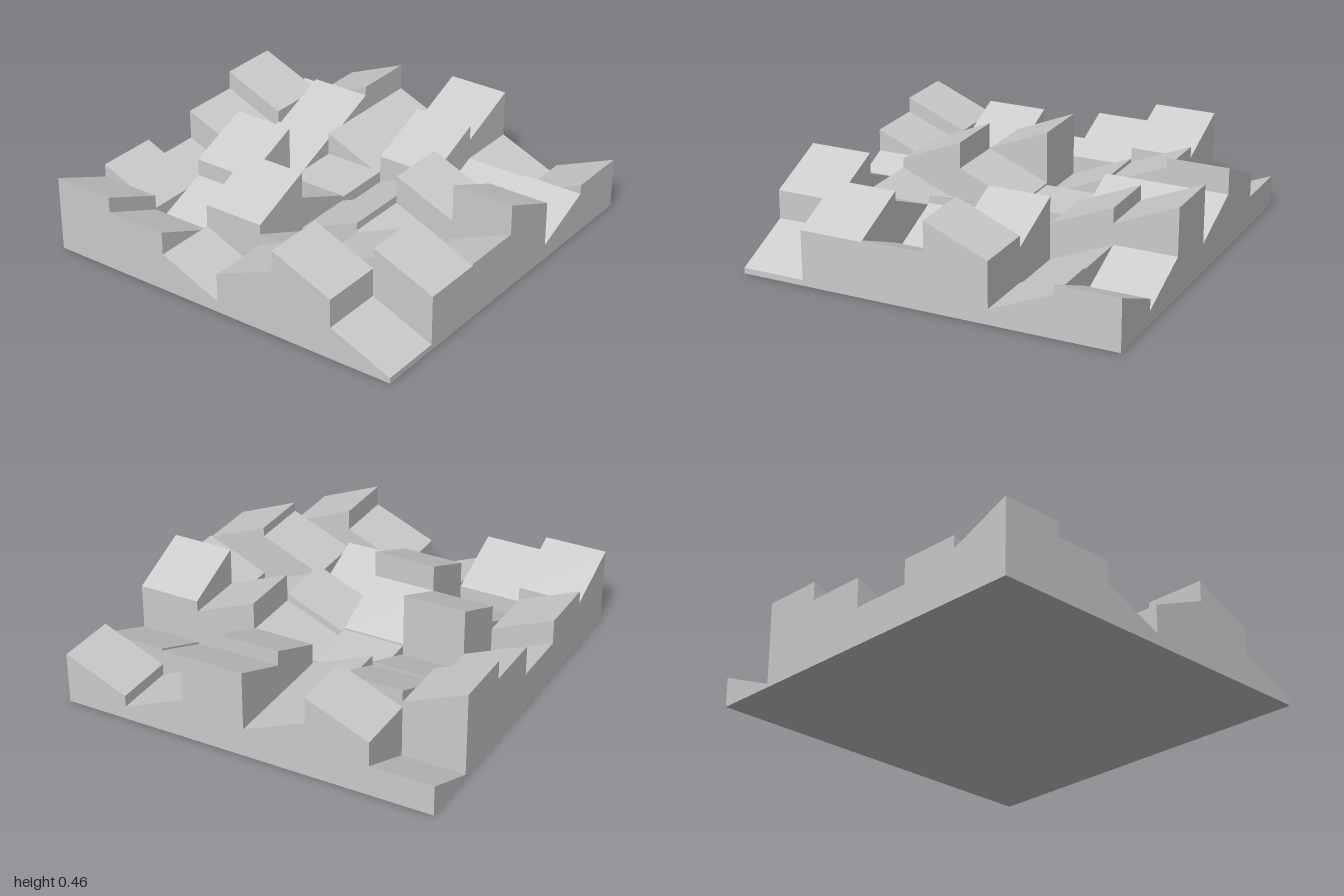
import * as THREE from 'three';

const N = 6, CELL = 2 / N, RISE = 0.14;

// Each block: side its top rises toward (E +x, W -x, S +z, N -z), low height in hundredths.
// Rows run from back to front, columns from -x to +x.
const BLOCKS = [
  'N2 E29 W15 N32 W7 E13',
  'W32 N24 W15 N26 N7 N8',
  'W22 N12 F17 E11 W26 S32',
  'W6 N32 S18 E15 W11 E16',
  'W19 N9 N32 S13 E24 W29',
  'S26 S18 W6 E21 W32 W3',
].map((row) => row.split(' '));

// Box standing on the ground whose top is tilted toward one side
function slopedBlock(direction, low) {
  const g = new THREE.BoxGeometry(CELL, 1, CELL);
  g.translate(0, 0.5, 0);
  const p = g.attributes.position;
  for (let i = 0; i < p.count; i++) {
    if (p.getY(i) < 0.5) continue;
    const x = p.getX(i), z = p.getZ(i);
    const raised = { E: x > 0, W: x < 0, S: z > 0, N: z < 0, F: false }[direction];
    p.setY(i, low + (raised ? RISE : 0));
  }
  g.computeVertexNormals();
  return g;
}

export function createModel() {
  const model = new THREE.Group();
  model.name = 'slopedBlockTile';
  const material = new THREE.MeshStandardMaterial({ color: 0xcccccc, flatShading: true });

  // Six by six field of tilted blocks
  BLOCKS.forEach((row, r) => row.forEach((code, c) => {
    const block = new THREE.Mesh(slopedBlock(code[0], Number(code.slice(1)) / 100), material);
    block.name = `slopedBlock_row${r + 1}_column${c + 1}`;
    block.position.set(-1 + (c + 0.5) * CELL, 0, -1 + (r + 0.5) * CELL);
    model.add(block);
  }));
  return model;
}
